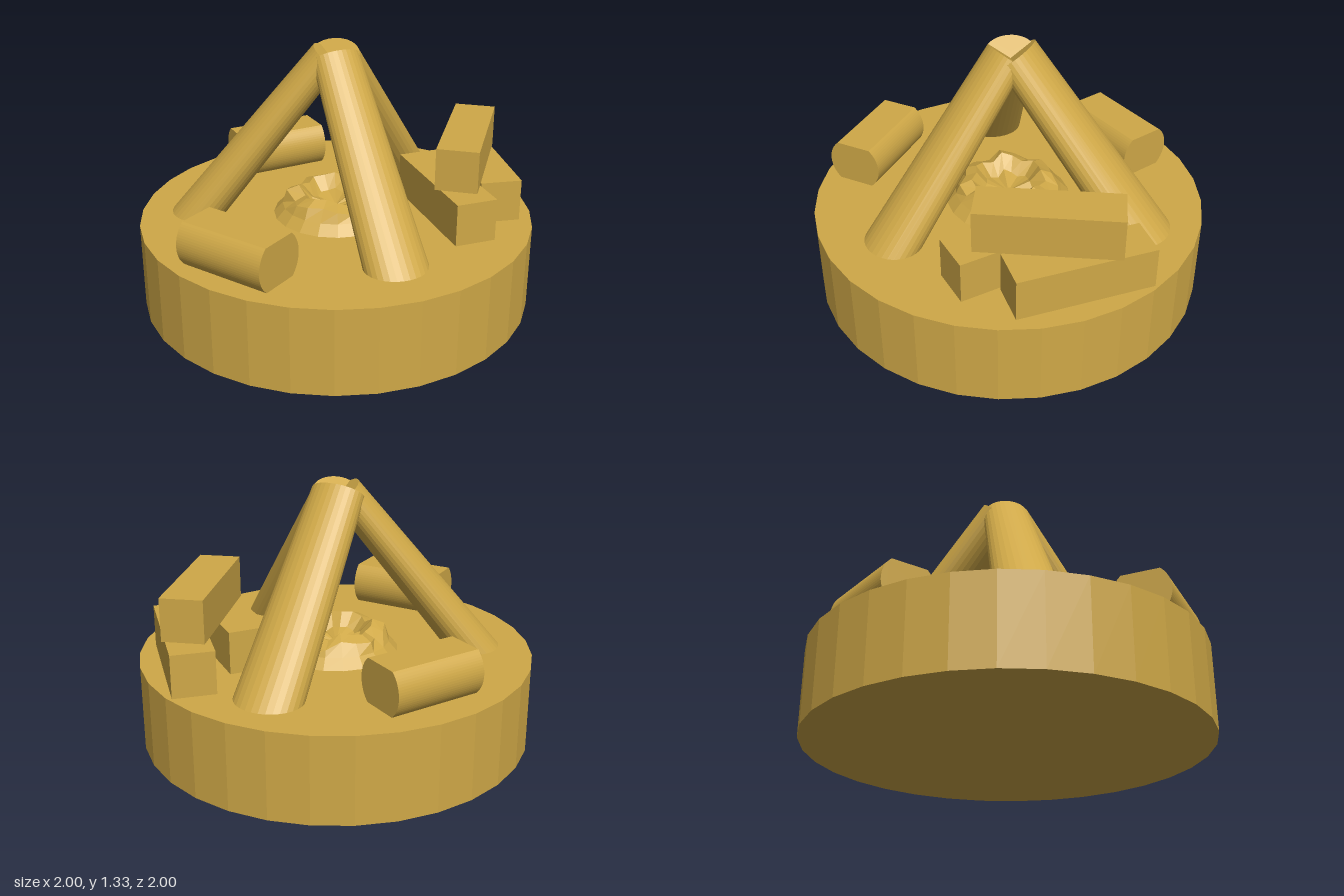
import * as THREE from 'three';

const gold = new THREE.MeshStandardMaterial({ color: 0xcfa847 });
gold.name = 'gold';

const GROUND = 0.44;

// Faceted mesh with one normal per face
function part(name, geometry, parent) {
  const g = geometry.index ? geometry.toNonIndexed() : geometry;
  g.computeVertexNormals();
  const mesh = new THREE.Mesh(g, gold);
  mesh.name = name;
  parent.add(mesh);
  return mesh;
}

// Tapered oval pole, wide across the lean, running from foot to tip
function pole(name, foot, tip, rFoot, rTip, parent) {
  const a = new THREE.Vector3(...foot);
  const b = new THREE.Vector3(...tip);
  const up = b.clone().sub(a).normalize();
  a.addScaledVector(up, -0.2); // bury the foot in the base
  const across = new THREE.Vector3(0, 1, 0).cross(up).normalize();
  const depth = across.clone().cross(up);
  const geo = new THREE.CylinderGeometry(rTip, rFoot, a.distanceTo(b), 32);
  geo.scale(1, 1, 0.7);
  const mesh = part(name, geo, parent);
  mesh.quaternion.setFromRotationMatrix(new THREE.Matrix4().makeBasis(across, up, depth));
  mesh.position.copy(a).add(b).multiplyScalar(0.5);
}

// Log seat: a round bar with flat top and bottom, lying along its local x
function logSeat(name, x, z, angle, parent) {
  const r = 0.145, length = 0.48;
  const t = Math.asin(0.11 / r);
  const shape = new THREE.Shape();
  shape.absarc(0, 0, r, -t, t, false);
  shape.absarc(0, 0, r, Math.PI - t, Math.PI + t, false);
  shape.closePath();
  const geo = new THREE.ExtrudeGeometry(shape, { depth: length, bevelEnabled: false, curveSegments: 10 });
  geo.translate(0, 0, -length / 2);
  geo.rotateY(Math.PI / 2);
  const mesh = part(name, geo, parent);
  mesh.position.set(x, GROUND + 0.109, z);
  mesh.rotation.y = angle;
}

// Ring of heaped earth with an uneven rim and a hollow in the middle
function firePit(parent) {
  const sides = 20;
  const profile = [[0.32, 0], [0.275, 0.05], [0.24, 0.1], [0.18, 0.125], [0.12, 0.06], [0, 0.03]];
  const points = profile.map(([r, y]) => new THREE.Vector2(r, y)).reverse();
  const geo = new THREE.LatheGeometry(points, sides);
  const pos = geo.attributes.position;
  for (let i = 0; i < pos.count; i++) {
    const x = pos.getX(i), y = pos.getY(i), z = pos.getZ(i);
    const a = Math.atan2(z, x);
    if (y > 0.055) {
      const wobble = Math.sin(a * 5 + 1) * 0.6 + Math.sin(a * 8) * 0.4;
      const k = 1 + 0.08 * Math.sin(a * 7 + 2);
      pos.setXYZ(i, x * k, y + 0.022 * wobble, z * k);
    }
  }
  // keep the faces turned up and outwards
  const idx = geo.index.array;
  const p = [0, 1, 2].map(() => new THREE.Vector3());
  let sum = 0;
  for (let i = 0; i < idx.length; i += 3) {
    p.forEach((v, j) => v.fromBufferAttribute(pos, idx[i + j]));
    sum += p[1].clone().sub(p[0]).cross(p[2].clone().sub(p[0])).y;
  }
  if (sum < 0) {
    for (let i = 0; i < idx.length; i += 3) [idx[i], idx[i + 1]] = [idx[i + 1], idx[i]];
  }
  part('firePit', geo, parent).position.y = GROUND;
}

export function createModel() {
  const model = new THREE.Group();
  model.name = 'campsite';

  // Round base
  part('base', new THREE.CylinderGeometry(1, 1, GROUND, 32), model).position.y = GROUND / 2;

  // Three poles leaning together
  const poles = new THREE.Group();
  poles.name = 'tripod';
  model.add(poles);
  pole('backPole', [-0.04, GROUND, -0.7], [-0.03, 1.265, -0.03], 0.178, 0.138, poles);
  pole('frontLeftPole', [0.57, GROUND, 0.35], [0.005, 1.265, 0.01], 0.165, 0.122, poles);
  pole('frontRightPole', [-0.59, GROUND, 0.38], [-0.045, 1.265, 0.01], 0.165, 0.122, poles);

  firePit(model);

  // Log seats
  logSeat('frontLog', -0.01, 0.785, 0, model);
  logSeat('sideLog', -0.645, -0.345, THREE.MathUtils.degToRad(61.5), model);

  // Stack of three beams: x, z, level, angle
  const stack = new THREE.Group();
  stack.name = 'beamStack';
  model.add(stack);
  const h = 0.215;
  [
    [0.515, -0.6, 0, -45.5],
    [0.49, -0.27, 0, -36],
    [0.506, -0.4425, 1, -70],
  ].forEach(([x, z, level, deg], i) => {
    const beam = part('beam' + (i + 1), new THREE.BoxGeometry(0.687, h, 0.21), stack);
    beam.position.set(x, GROUND + h * (level + 0.5), z);
    beam.rotation.y = THREE.MathUtils.degToRad(deg);
  });

  return model;
}
